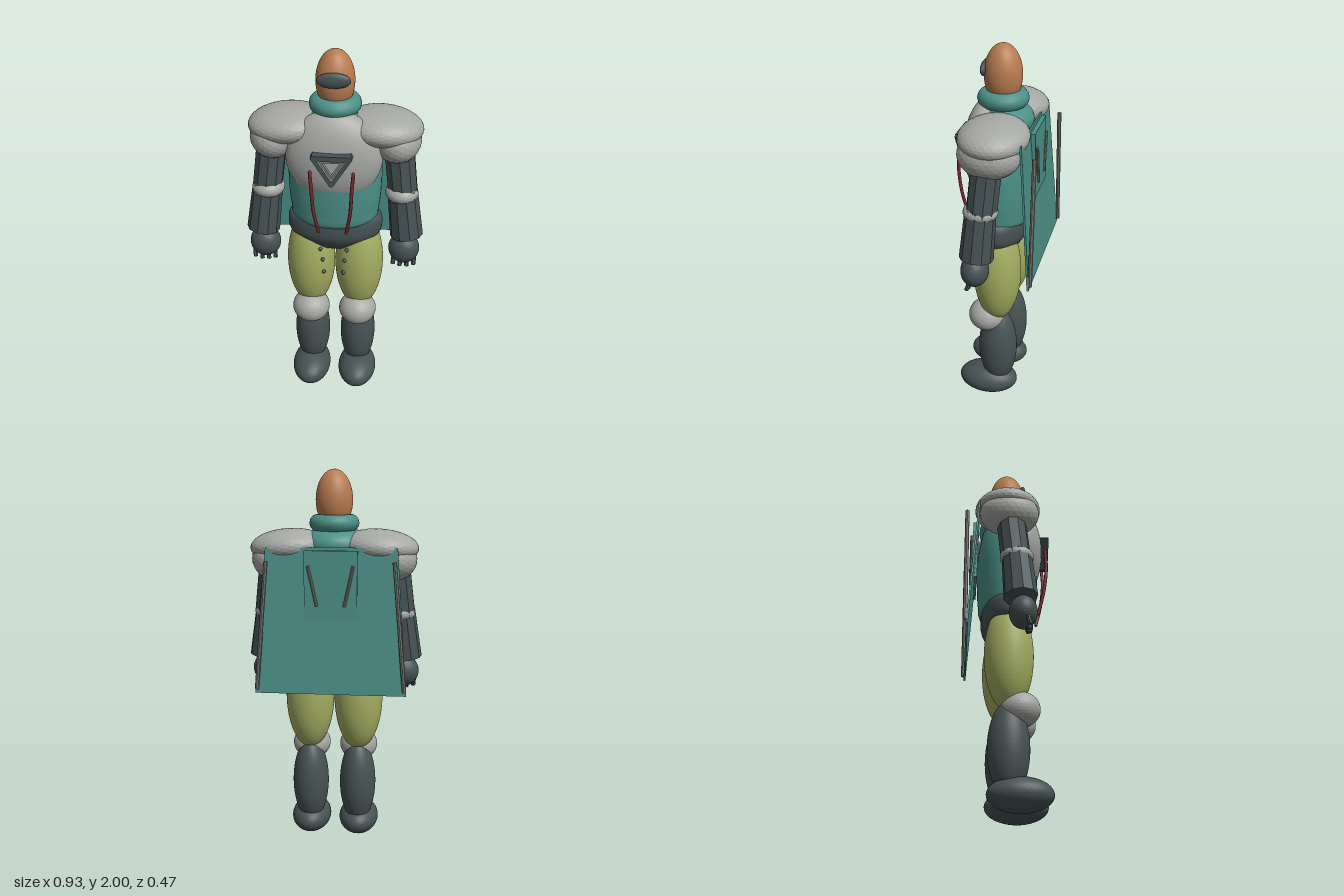
import * as THREE from 'three';

const mat = (name, color) => {
  const m = new THREE.MeshStandardMaterial({ color });
  m.name = name;
  return m;
};

export function createModel() {
  const skin = mat('copper', 0xb87b50), teal = mat('teal', 0x4b9087);
  const pale = mat('paleGrey', 0xa6a8a4), dark = mat('slate', 0x465254);
  const olive = mat('olive', 0xa3ad61), red = mat('darkRed', 0x7c2833);
  const steel = mat('steel', 0x7c7c7a);
  const model = new THREE.Group();
  model.name = 'armouredFigure';
  const V = (a) => new THREE.Vector3(...a);

  const add = (name, geo, material, pos = [0, 0, 0], rot = [0, 0, 0]) => {
    const mesh = new THREE.Mesh(geo, material);
    mesh.name = name;
    mesh.position.set(...pos);
    mesh.rotation.set(...rot);
    model.add(mesh);
    return mesh;
  };
  // Ellipsoid made from a faceted or smooth ball
  const ball = (name, material, pos, radii, detail = 8, flat = true, rot) => {
    const g = new THREE.IcosahedronGeometry(1, detail);
    g.scale(...radii);
    if (flat) g.computeVertexNormals();
    return add(name, g, material, pos, rot);
  };
  // Faceted rod between two points
  const rod = (name, material, a, b, r0, r1 = r0, sides = 8) => {
    const from = V(a), to = V(b), dir = to.clone().sub(from);
    const g = new THREE.CylinderGeometry(r1, r0, dir.length(), sides).toNonIndexed();
    g.computeVertexNormals();
    const mesh = add(name, g, material);
    mesh.position.copy(from).add(to).multiplyScalar(0.5);
    mesh.quaternion.setFromUnitVectors(new THREE.Vector3(0, 1, 0), dir.normalize());
    return mesh;
  };
  // Oval turned body
  const turned = (name, material, points, depth, z = 0) => {
    const curve = new THREE.SplineCurve(points.map((p) => new THREE.Vector2(...p)));
    const pts = curve.getPoints(24);
    pts.forEach((p) => { p.x = Math.max(p.x, 0); });
    const g = new THREE.LatheGeometry(pts, 40);
    g.scale(1, 1, depth);
    return add(name, g, material, [0, 0, z]);
  };

  // Head, visor and collar
  ball('head', skin, [0, 1.845, 0], [0.096, 0.155, 0.096], 12, false);
  ball('visor', dark, [0, 1.875, 0.088], [0.083, 0.039, 0.021], 8, false);
  const collar = new THREE.TorusGeometry(0.085, 0.045, 14, 36);
  collar.rotateX(Math.PI / 2);
  add('collar', collar, teal, [0, 1.728, 0]);
  ball('yoke', teal, [0, 1.62, -0.01], [0.172, 0.09, 0.145], 10, false);

  // Torso, breastplate and hips
  turned('torso', teal, [[0, 1.06], [0.2, 1.08], [0.23, 1.16], [0.24, 1.28],
    [0.238, 1.42], [0.21, 1.55], [0.16, 1.66], [0, 1.7]], 0.69);
  ball('breastplate', pale, [0, 1.475, 0.078], [0.243, 0.245, 0.115], 12, false);
  turned('hips', dark, [[0, 0.88], [0.14, 0.92], [0.23, 0.99], [0.25, 1.05],
    [0.235, 1.115], [0.15, 1.135], [0, 1.14]], 0.57);

  // Triangular chest ornament with clipped corners
  const triangle = (s, clip) => {
    const corners = [[-1, 0.62], [1, 0.62], [0, -0.98]];
    const pts = [];
    corners.forEach((c, i) => {
      [corners[(i + 2) % 3], corners[(i + 1) % 3]].forEach((n) => {
        pts.push(new THREE.Vector2(
          (c[0] + (n[0] - c[0]) * clip) * s, (c[1] + (n[1] - c[1]) * clip) * s));
      });
    });
    return pts;
  };
  const frame = (name, material, outer, inner, depth, z) => {
    const shape = new THREE.Shape(triangle(outer, 0.07));
    shape.holes.push(new THREE.Path(triangle(inner, 0.01)));
    add(name, new THREE.ExtrudeGeometry(shape, { depth, bevelEnabled: false }),
      material, [0, 1.476, z]);
  };
  frame('ornamentFrame', dark, 0.11, 0.068, 0.055, 0.172);
  frame('ornamentInset', steel, 0.066, 0.044, 0.042, 0.172);
  add('ornamentCentre', new THREE.ExtrudeGeometry(new THREE.Shape(triangle(0.043, 0.01)),
    { depth: 0.03, bevelEnabled: false }), pale, [0, 1.476, 0.172]);

  // Cape, tapering upward and leaning away from the back
  const capeShape = new THREE.Shape([[-0.39, 0], [0.39, 0], [0.335, 0.75], [-0.335, 0.75]]
    .map((p) => new THREE.Vector2(...p)));
  add('cape', new THREE.ExtrudeGeometry(capeShape, { depth: 0.01, bevelEnabled: false }),
    teal, [0, 0.867, -0.224], [0.075, 0, 0]);
  add('backPanel', new THREE.BoxGeometry(0.27, 0.34, 0.03), teal,
    [0, 1.43, -0.18], [0.02, 0, 0]);

  for (const s of [1, -1]) {
    const side = s > 0 ? 'left' : 'right';
    const P = (x, y, z) => [s * x, y, z];

    // Chest hoses and back rods
    const hose = new THREE.CatmullRomCurve3([V(P(0.107, 1.445, 0.205)),
      V(P(0.1, 1.35, 0.21)), V(P(0.093, 1.22, 0.197)), V(P(0.072, 1.08, 0.165))]);
    add(side + 'Hose', new THREE.TubeGeometry(hose, 16, 0.009, 8), red);
    [1.445, 1.08].forEach((y, i) =>
      ball(side + 'HoseEnd', red, P(i ? 0.072 : 0.107, y, i ? 0.165 : 0.205),
        [0.009, 0.009, 0.009], 2));
    rod(side + 'CapeRod', steel, P(0.38, 0.888, -0.228), P(0.322, 1.55, -0.228), 0.011);
    rod(side + 'PanelRod', steel, P(0.07, 1.32, -0.2), P(0.115, 1.525, -0.2), 0.008);

    // Shoulder armour
    ball(side + 'ShoulderPad', pale, P(0.235, 1.61, -0.01), [0.205, 0.09, 0.175], 5, true,
      [0, 0, -s * 0.06]);
    ball(side + 'ShoulderGuard', pale, P(0.31, 1.545, -0.005), [0.122, 0.115, 0.157], 4);

    // Arm
    rod(side + 'UpperArm', dark, P(0.322, 1.5, 0.003), P(0.352, 1.25, 0.025), 0.078, 0.078, 10);
    rod(side + 'Forearm', dark, P(0.348, 1.275, 0.028), P(0.38, 1.015, 0.046), 0.078, 0.087, 10);
    ball(side + 'Elbow', pale, P(0.345, 1.26, 0.03), [0.085, 0.054, 0.088], 4);
    ball(side + 'Hand', dark, P(0.37, 0.938, 0.058), [0.082, 0.086, 0.072], 5);
    for (let i = 0; i < 4; i++) {
      const x = 0.316 + i * 0.036;
      rod(side + 'Finger', dark, P(x + 0.003, 0.89, 0.075),
        P(x, i % 3 ? 0.84 : 0.85, 0.088), 0.012, 0.012, 6);
    }

    // Leg
    ball(side + 'Thigh', olive, P(0.131, 0.805, 0.002), [0.13, 0.3, 0.128], 10);
    ball(side + 'Knee', pale, P(0.13, 0.515, 0.058), [0.103, 0.09, 0.103], 5);
    ball(side + 'Shin', dark, P(0.13, 0.315, 0), [0.098, 0.24, 0.106], 10);
    ball(side + 'Foot', dark, P(0.133, 0.087, 0.056), [0.108, 0.087, 0.165], 7);

    // Studs down the front of the thigh
    [[0.07, 0.93], [0.058, 0.865], [0.052, 0.785]].forEach(([x, y]) => {
      const d = ((x - 0.131) / 0.13) ** 2 + ((y - 0.805) / 0.3) ** 2;
      ball(side + 'Stud', dark, P(x, y, 0.005 + 0.128 * Math.sqrt(1 - d)),
        [0.011, 0.011, 0.011], 2);
    });
  }
  return model;
}
